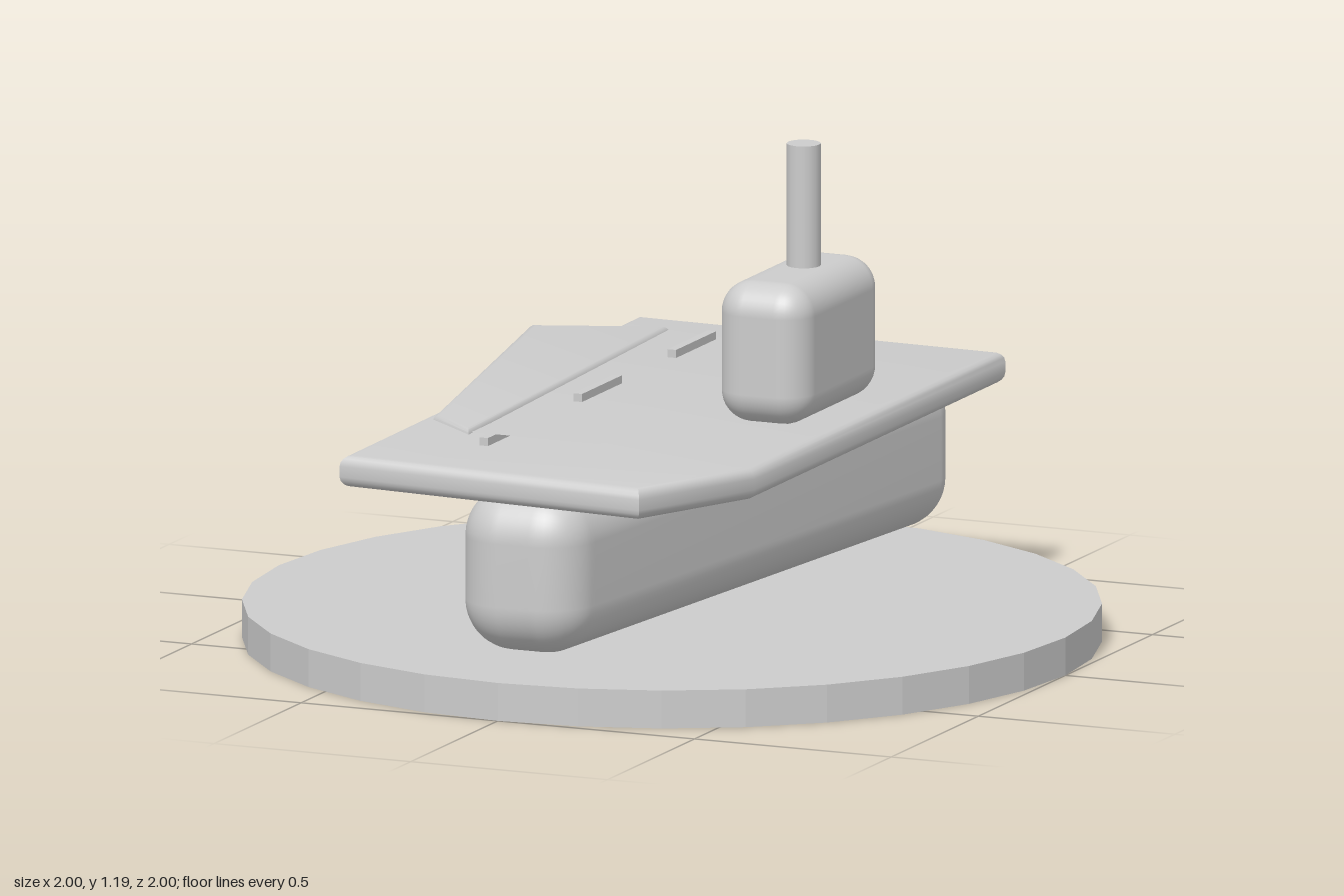
import * as THREE from 'three';
import { RoundedBoxGeometry } from 'three/addons/geometries/RoundedBoxGeometry.js';
import { mergeVertices, toCreasedNormals } from 'three/addons/utils/BufferGeometryUtils.js';

const grey = new THREE.MeshStandardMaterial({ color: 0xcccccc });
grey.name = 'ship grey';

function part(group, name, geometry, x = 0, y = 0, z = 0) {
  const mesh = new THREE.Mesh(geometry, grey);
  mesh.name = name;
  mesh.position.set(x, y, z);
  group.add(mesh);
  return mesh;
}

// Flat slab with rounded rim; plan is a list of [x, z] corners
function slab(plan, height, bevel) {
  const shape = new THREE.Shape(plan.map(([x, z]) => new THREE.Vector2(x, -z)));
  const geo = new THREE.ExtrudeGeometry(shape, {
    depth: height - 2 * bevel, bevelEnabled: true, bevelThickness: bevel,
    bevelSize: bevel, bevelOffset: -bevel, bevelSegments: 4,
  });
  geo.translate(0, 0, bevel);
  geo.rotateX(-Math.PI / 2);
  return toCreasedNormals(geo, 0.6);
}

// Rounded box whose sides close in towards the bow, keeping the corner radius
function hullGeometry() {
  const radius = 0.12, length = 1.84, stern = 0.33, bow = 0.16;
  const geo = new RoundedBoxGeometry(stern * 2, 0.39, length, 6, radius);
  const pos = geo.attributes.position;
  const core = length / 2 - radius;
  for (let i = 0; i < pos.count; i++) {
    const t = (THREE.MathUtils.clamp(pos.getZ(i), -core, core) + core) / (2 * core);
    const x = pos.getX(i);
    pos.setX(i, x - Math.sign(x) * (stern - bow) * t);
  }
  geo.deleteAttribute('normal');
  geo.deleteAttribute('uv');
  const smooth = mergeVertices(geo, 1e-4);
  smooth.computeVertexNormals();
  return smooth;
}

export function createModel() {
  const ship = new THREE.Group();
  ship.name = 'aircraftCarrier';

  // Round display base with faceted rim
  part(ship, 'base', toCreasedNormals(new THREE.CylinderGeometry(1, 1, 0.09, 32), 0.1), 0, 0.045, 0);

  part(ship, 'hull', hullGeometry(), 0, 0.325, 0);

  // Flight deck and the angled landing deck overlapping its side
  part(ship, 'flightDeck', slab(
    [[-0.47, -0.86], [0.48, -0.83], [0.48, 0.61], [0.33, 0.935], [-0.46, 0.87]], 0.075, 0.025), 0, 0.49, 0);
  part(ship, 'angledDeck', slab(
    [[-0.64, -0.62], [-0.33, -0.735], [-0.28, 0.535], [-0.43, 0.41]], 0.06, 0.022), 0, 0.516, 0);

  // Runway dashes
  for (const z of [-0.565, -0.025, 0.515]) {
    part(ship, 'runwayDash', new THREE.BoxGeometry(0.022, 0.02, 0.23), -0.2, 0.574, z);
  }

  // Aircraft lift marking
  const lift = new THREE.PlaneGeometry(0.325, 0.205);
  lift.rotateX(-Math.PI / 2);
  part(ship, 'liftPanel', lift, -0.085, 0.586, 0.49);

  // Command island and mast
  part(ship, 'island', new RoundedBoxGeometry(0.23, 0.335, 0.48, 5, 0.075), 0.295, 0.73, -0.06);
  part(ship, 'mast', new THREE.CylinderGeometry(0.04, 0.04, 0.32, 16), 0.295, 1.027, -0.09);

  return ship;
}
